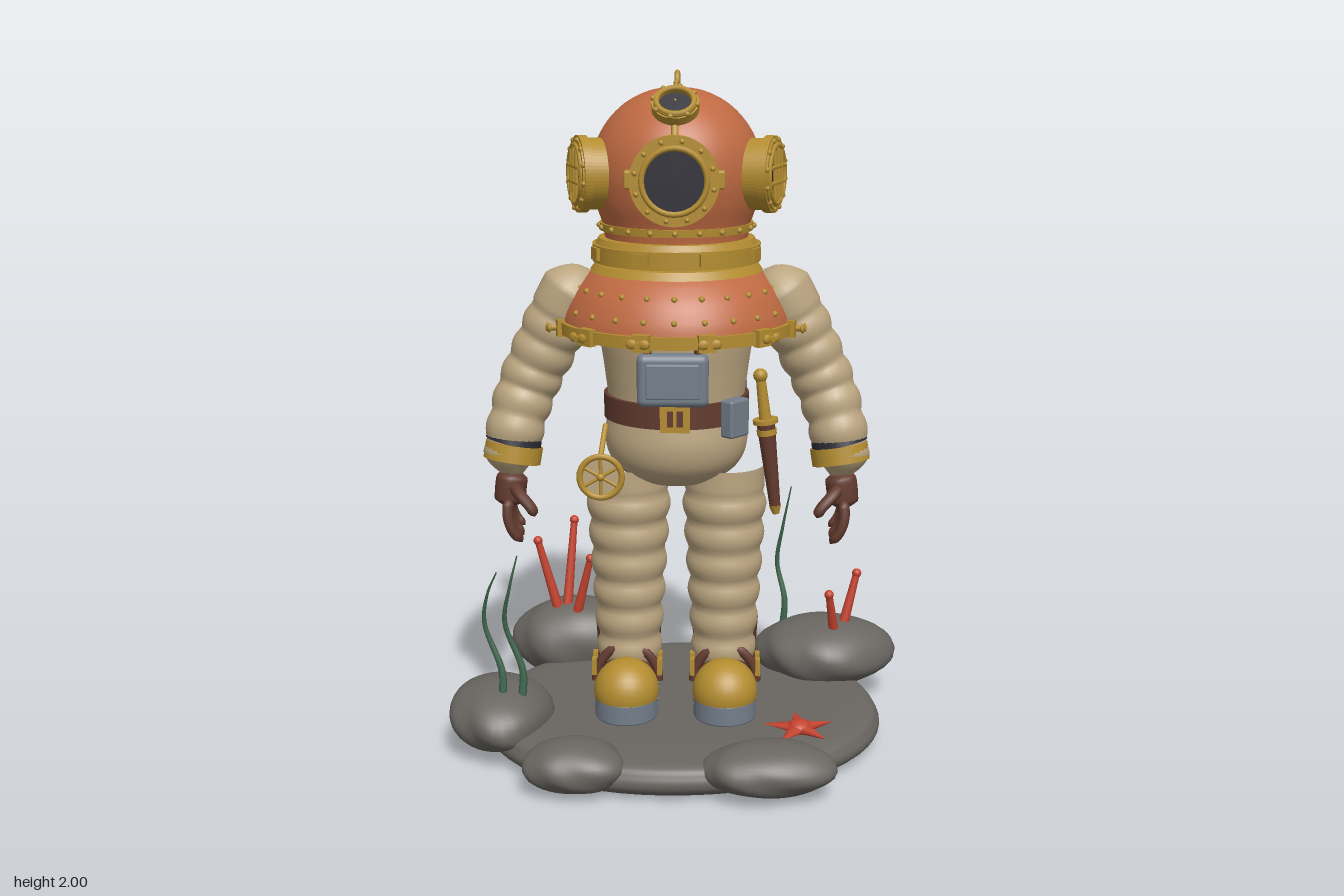
import * as THREE from 'three';
import { mergeVertices } from 'three/addons/utils/BufferGeometryUtils.js';
import { RoundedBoxGeometry } from 'three/addons/geometries/RoundedBoxGeometry.js';

const V = (x, y, z) => new THREE.Vector3(x, y, z);
const paint = (name, color) => Object.assign(new THREE.MeshStandardMaterial({ color }), { name });

export function createModel() {
  const copper = paint('copper', 0xbf6a42), brass = paint('brass', 0xb48d30), canvas = paint('canvas', 0xbba580);
  const leather = paint('leather', 0x623a2e), rubber = paint('dark rubber and glass', 0x2b2b34);
  const steel = paint('steel', 0x747e8a), rock = paint('rock', 0x696661);
  const red = paint('red', 0xc4432f), green = paint('seaweed green', 0x41684f);
  const root = new THREE.Group();
  root.name = 'deepSeaDiver';

  // --- helpers ---
  const add = (parent, name, geo, mat, x = 0, y = 0, z = 0) => {
    const m = new THREE.Mesh(geo, mat);
    m.name = name;
    m.position.set(x, y, z);
    parent.add(m);
    return m;
  };
  const cyl = (r1, r2, h, n = 24) => new THREE.CylinderGeometry(r1, r2, h, n);
  const ball = (r, n = 12) => new THREE.SphereGeometry(r, n, Math.ceil(n * 0.6));
  const lathe = (pts, n = 48) => new THREE.LatheGeometry(
    new THREE.SplineCurve(pts.map(p => new THREE.Vector2(...p))).getPoints(pts.length * 6).map(p => p.setX(Math.max(p.x, 0))), n);
  const rod = (parent, name, a, b, r1, r2, mat, n = 10) => {
    const m = add(parent, name, cyl(r2, r1, a.distanceTo(b), n), mat);
    m.position.copy(a).lerp(b, 0.5);
    m.quaternion.setFromUnitVectors(V(0, 1, 0), b.clone().sub(a).normalize());
    return m;
  };
  // tube whose radius follows a rule
  const limb = (pts, radius, seg = 24, sides = 10) => {
    const curve = new THREE.CatmullRomCurve3(pts);
    const g = new THREE.TubeGeometry(curve, seg, 1, sides), p = g.attributes.position, v = V();
    for (let i = 0; i < p.count; i++) {
      const t = Math.floor(i / (sides + 1)) / seg, c = curve.getPointAt(t);
      v.fromBufferAttribute(p, i).sub(c).multiplyScalar(radius(t)).add(c);
      p.setXYZ(i, v.x, v.y, v.z);
    }
    g.deleteAttribute('uv');
    g.deleteAttribute('normal');
    const merged = mergeVertices(g, 1e-5);
    merged.computeVertexNormals();
    return merged;
  };
  const capped = (t, e = 0.1) => Math.sqrt(Math.max(0, Math.min(1, t / e, (1 - t) / e)));
  const ringPlate = (rIn, rOut, depth) => {
    const s = new THREE.Shape().absarc(0, 0, rOut, 0, Math.PI * 2, false);
    s.holes.push(new THREE.Path().absarc(0, 0, rIn, 0, Math.PI * 2, true));
    return new THREE.ExtrudeGeometry(s, { depth, bevelEnabled: false, curveSegments: 32 });
  };
  const aim = (name, at, dir) => {
    const g = new THREE.Group();
    g.name = name;
    g.position.copy(at);
    g.lookAt(at.clone().add(dir));
    root.add(g);
    return g;
  };
  const around = (n, r, f, start = 0) => {
    for (let i = 0; i < n; i++) { const a = start + i / n * Math.PI * 2; f(r * Math.sin(a), r * Math.cos(a), a); }
  };

  // --- sea bed: flat slab and rounded rocks ---
  const bumpy = (geo, amount, k) => {
    geo.deleteAttribute('uv');
    geo.deleteAttribute('normal');
    const g = mergeVertices(geo, 1e-5), p = g.attributes.position;
    for (let i = 0; i < p.count; i++) {
      const x = p.getX(i), y = p.getY(i), z = p.getZ(i);
      const f = 1 + amount * (Math.sin(x * 3.1 + k) * Math.cos(z * 2.7 + k * 2) + 0.5 * Math.sin(x * 6 + y * 4 + z * 5 + k));
      p.setXYZ(i, x * f, y, z * f);
    }
    g.computeVertexNormals();
    return g;
  };
  const slab = add(root, 'seaBed', bumpy(lathe([[0, 0.004], [0.3, 0.004], [0.53, 0.008], [0.6, 0.035], [0.605, 0.075],
    [0.55, 0.108], [0.3, 0.115], [0, 0.115]], 64), 0.025, 1), rock, 0.02, 0, 0);
  slab.scale.z = 0.84;
  [[-0.34, 0.15, -0.42, 0.21, 0.135, 0.145], [0.47, 0.165, -0.285, 0.21, 0.11, 0.165], [-0.525, 0.12, 0.13, 0.155, 0.1, 0.19],
    [-0.28, 0.085, 0.42, 0.15, 0.075, 0.11], [0.27, 0.09, 0.44, 0.19, 0.075, 0.115]].forEach(([x, y, z, a, b, c], i) => {
    add(root, 'rock', bumpy(new THREE.SphereGeometry(1, 36, 24), 0.06, i * 1.7), rock, x, y, z).scale.set(a, b, c);
  });

  // --- seaweed, coral and starfish ---
  const weed = (...pts) => add(root, 'seaweed', limb(pts, t => 0.013 * (1 - t * 0.85), 24, 6), green);
  weed(V(-0.51, 0.18, 0.2), V(-0.51, 0.27, 0.19), V(-0.56, 0.42, 0.18), V(-0.545, 0.52, 0.2), V(-0.515, 0.59, 0.22));
  weed(V(-0.455, 0.17, 0.19), V(-0.45, 0.27, 0.18), V(-0.5, 0.42, 0.18), V(-0.48, 0.54, 0.21), V(-0.455, 0.64, 0.22));
  weed(V(0.34, 0.2, -0.38), V(0.345, 0.3, -0.38), V(0.32, 0.42, -0.4), V(0.335, 0.54, -0.38), V(0.36, 0.69, -0.35));
  [[-0.385, 0.22, -0.38, -0.46, 0.49, -0.39], [-0.37, 0.22, -0.38, -0.345, 0.545, -0.445], [-0.34, 0.22, -0.36, -0.285, 0.45, -0.33],
    [0.5, 0.22, -0.23, 0.475, 0.385, -0.18], [0.52, 0.22, -0.26, 0.57, 0.42, -0.29]].forEach(([a, b, c, d, e, f]) => {
    rod(root, 'coral', V(a, b, c), V(d, e, f), 0.018, 0.011, red);
    add(root, 'coralTip', ball(0.015), red, d, e, f);
  });
  around(5, 0.05, (x, z, a) => {
    const arm = add(root, 'starfishArm', new THREE.ConeGeometry(0.034, 0.12, 8), red, 0.365 + x, 0.125, 0.24 + z);
    arm.rotation.set(Math.PI / 2, 0, -a, 'XYZ');
    arm.scale.z = 0.55;
  }, Math.PI + 0.08);
  add(root, 'starfishCentre', ball(0.036), red, 0.365, 0.127, 0.24).scale.y = 0.6;

  // --- suit body ---
  add(root, 'torso', lathe([[0, 0.8], [0.1, 0.815], [0.18, 0.865], [0.21, 0.94], [0.2, 1.05], [0.21, 1.15], [0.225, 1.28], [0.21, 1.4]]),
    canvas).scale.z = 0.95;
  add(root, 'belt', cyl(0.213, 0.213, 0.07, 48), leather, 0, 1.045, 0).scale.z = 0.97;
  const buckle = add(root, 'beltBuckle', new THREE.BoxGeometry(0.085, 0.08, 0.02), brass, 0, 1.045, 0.208);
  add(buckle, 'buckleInset', new THREE.BoxGeometry(0.045, 0.045, 0.006), leather, 0, 0, 0.01);
  add(buckle, 'bucklePin', new THREE.BoxGeometry(0.01, 0.05, 0.008), brass, 0, 0, 0.012);
  [[0.17, 0.15], [0.17, -0.15], [-0.17, -0.15]].forEach(([x, z]) => {
    add(aim('beltWeight', V(x, 1.035, z), V(x, 0, z)), 'weightBlock', new RoundedBoxGeometry(0.08, 0.11, 0.045, 2, 0.008), steel);
  });

  for (const s of [-1, 1]) {
    // legs with soft folds
    const leg = [];
    for (let i = 0; i <= 44; i++) {
      const y = 0.24 + i * 0.62 / 44;
      const fold = y < 0.78 ? 0.013 * Math.abs(Math.sin((y - 0.24) * Math.PI / 0.09)) : 0.006;
      leg.push(new THREE.Vector2(0.083 + 0.03 * Math.min(1, (y - 0.24) / 0.5) + fold, y));
    }
    add(root, 'leg', new THREE.LatheGeometry(leg, 32), canvas, s * 0.143, 0, -0.005);

    // weighted boots
    const boot = new THREE.Group();
    boot.name = 'boot';
    boot.position.x = s * 0.147;
    root.add(boot);
    const print = new THREE.Shape().absarc(0, -0.135, 0.085, Math.PI, Math.PI * 2, false).absarc(0, 0.04, 0.072, 0, Math.PI, false);
    const sole = add(boot, 'sole', new THREE.ExtrudeGeometry(print,
      { depth: 0.055, bevelSize: 0.008, bevelThickness: 0.006, bevelSegments: 2, curveSegments: 16 }), steel, 0, 0.121, 0);
    sole.rotation.x = -Math.PI / 2;
    for (const e of [-1, 1]) for (let i = 0; i < 5; i++) add(boot, 'soleStud', ball(0.008, 8), steel, e * 0.089, 0.15, -0.03 + i * 0.042);
    add(boot, 'bootShaft', lathe([[0.09, 0.18], [0.095, 0.24], [0.097, 0.3], [0.102, 0.375]], 32), leather, 0, 0, -0.04).material = leather;
    add(boot, 'bootFoot', ball(1, 24), leather, 0, 0.185, 0.07).scale.set(0.088, 0.095, 0.13);
    add(boot, 'toeCap', ball(1, 28), brass, 0, 0.195, 0.132).scale.set(0.097, 0.095, 0.098);
    const welt = add(boot, 'instepStrap', new THREE.TorusGeometry(0.094, 0.014, 8, 24, Math.PI), leather, 0, 0.2, 0.07);
    welt.scale.y = 1.15;
    for (const e of [-1, 1]) for (const z of [0.085, 0.03])
      add(boot, 'strapBuckle', new THREE.BoxGeometry(0.014, 0.05, 0.028), brass, e * 0.098, 0.25, z);

    // sleeves with folds
    const P = (x, y, z) => V(s * x, y, z);
    add(root, 'sleeve', limb([P(0.255, 1.44, -0.01), P(0.31, 1.355, -0.01), P(0.375, 1.23, -0.015), P(0.435, 1.1, -0.01), P(0.47, 0.99, 0.02),
      P(0.485, 0.9, 0.035), P(0.48, 0.825, 0.045)],
    t => capped(t, 0.11) * (0.094 - 0.022 * t + (t > 0.22 ? 0.01 * Math.abs(Math.sin(t * 26)) : 0.006)), 72, 24), canvas);
    rod(root, 'cuff', P(0.482, 0.875, 0.038), P(0.48, 0.925, 0.03), 0.085, 0.085, brass, 28).rotateZ(s * 0.12);
    rod(root, 'cuffSeal', P(0.479, 0.928, 0.03), P(0.476, 0.952, 0.027), 0.083, 0.08, rubber, 28).rotateZ(s * 0.12);

    // gloved hands
    add(root, 'palm', limb([P(0.48, 0.85, 0.045), P(0.488, 0.8, 0.05), P(0.492, 0.74, 0.052)], t => capped(t, 0.2) * 0.047, 16, 14), leather).name = 'palm';
    for (let i = 0; i < 4; i++) {
      const z = 0.005 + i * 0.03, d = [0.03, 0.01, 0, 0.015][i], spread = (i - 1.5) * 0.008;
      add(root, 'finger', limb([P(0.49, 0.775, z), P(0.492, 0.72, z + spread), P(0.478, 0.67 + d * 0.5, z + spread * 1.3), P(0.455, 0.632 + d, z + spread)],
        t => 0.017 * capped(t, 0.12) * (1 - t * 0.2), 16, 8), leather);
    }
    add(root, 'thumb', limb([P(0.48, 0.81, 0.075), P(0.455, 0.79, 0.11), P(0.42, 0.755, 0.13), P(0.41, 0.73, 0.13)],
      t => 0.019 * capped(t, 0.12) * (1 - t * 0.2), 16, 8), leather);

    // air tanks and hoses
    const x = s * 0.095;
    add(root, 'airTank', lathe([[0, 0.935], [0.05, 0.938], [0.076, 0.96], [0.08, 1], [0.08, 1.2], [0.08, 1.34], [0.07, 1.38], [0.04, 1.405], [0, 1.41]], 32),
      steel, x, 0, -0.397);
    for (const y of [1.02, 1.245]) add(root, 'tankBand', cyl(0.084, 0.084, 0.03, 32), brass, x, y, -0.397);
    add(root, 'tankNeck', cyl(0.026, 0.034, 0.05), brass, x, 1.42, -0.397);
    add(root, 'airHose', limb([V(s * 0.135, 1.665, -0.27), V(s * 0.155, 1.655, -0.33), V(s * 0.18, 1.62, -0.405), V(s * 0.165, 1.55, -0.435),
      V(s * 0.115, 1.49, -0.42), V(x, 1.42, -0.397)], () => 0.025, 40, 12), rubber);
    rod(root, 'hoseFitting', V(s * 0.1, 1.67, -0.2), V(s * 0.14, 1.663, -0.285), 0.03, 0.03, brass, 16);
    rod(root, 'hoseNut', V(s * 0.127, 1.665, -0.26), V(s * 0.136, 1.664, -0.28), 0.04, 0.04, brass, 6);
  }

  // --- backpack frame and valve ---
  add(root, 'backplate', new THREE.BoxGeometry(0.25, 0.31, 0.085), leather, 0, 1.095, -0.265);
  add(root, 'tankShelf', new THREE.BoxGeometry(0.25, 0.02, 0.12), leather, 0, 0.95, -0.3);
  rod(root, 'manifold', V(-0.1, 1.425, -0.395), V(0.1, 1.425, -0.395), 0.014, 0.014, brass);
  rod(root, 'valveStem', V(0, 1.425, -0.395), V(0, 1.415, -0.45), 0.01, 0.01, brass);
  const handwheel = (at, dir, r) => {
    const g = aim('valveHandwheel', at, dir);
    add(g, 'wheelRim', new THREE.TorusGeometry(r, 0.008, 8, 24), red);
    for (let i = 0; i < 3; i++) add(g, 'wheelSpoke', cyl(0.006, 0.006, r * 2, 8), red).rotation.z = i * Math.PI / 3;
    add(g, 'wheelHub', ball(0.012), red);
  };
  handwheel(V(0, 1.415, -0.45), V(0, 0, -1), 0.034);

  // --- breastplate ---
  const cz = -0.012;
  add(root, 'breastplate', lathe([[0.335, 1.29], [0.325, 1.33], [0.3, 1.38], [0.265, 1.42], [0.235, 1.445]], 64), copper, 0, 0, cz).material.side = THREE.DoubleSide;
  add(root, 'lowerFlange', cyl(0.345, 0.345, 0.035, 64), brass, 0, 1.282, cz);
  add(root, 'collarLip', cyl(0.235, 0.25, 0.022, 48), brass, 0, 1.45, cz);
  add(root, 'collarRing', cyl(0.243, 0.243, 0.05, 48), brass, 0, 1.492, cz);
  add(root, 'collarTop', cyl(0.225, 0.235, 0.02, 48), brass, 0, 1.524, cz);
  around(8, 0.243, (x, z, a) => {
    add(root, 'collarLug', new THREE.BoxGeometry(0.05, 0.035, 0.018), brass, x, 1.495, z + cz).rotation.y = a;
  }, 0.39);
  for (const [y, r] of [[1.395, 0.289], [1.335, 0.323]])
    around(24, r, (x, z) => add(root, 'breastplateRivet', ball(0.009, 8), brass, x, y, z + cz));
  around(12, 0.345, (x, z, a) => {
    const g = aim('wingNut', V(x, 1.282, z + cz), V(x, 0, z));
    add(g, 'clamp', new THREE.BoxGeometry(0.05, 0.048, 0.022), brass);
    add(g, 'bolt', cyl(0.009, 0.009, 0.04, 8), brass, 0, 0, 0.02).rotation.x = Math.PI / 2;
    for (const e of [-1, 1]) add(g, 'wing', ball(0.014, 8), brass, e * 0.018, 0.003, 0.034).scale.set(1.2, 1, 0.5);
  }, Math.PI / 12);

  // --- helmet ---
  const hc = V(0, 1.715, -0.022);
  add(root, 'helmet', lathe([[0.205, 1.52], [0.213, 1.57], [0.235, 1.64], [0.245, 1.715], [0.234, 1.79], [0.2, 1.857], [0.145, 1.912], [0.075, 1.946], [0, 1.957]], 64),
    copper, 0, 0, hc.z);
  add(root, 'neckBand', cyl(0.222, 0.22, 0.022, 48), brass, 0, 1.565, hc.z);
  around(20, 0.222, (x, z) => add(root, 'neckRivet', ball(0.009, 8), brass, x, 1.565, z + hc.z));
  // crest strap over the crown
  const crestArc = 2.75;
  const crest = add(root, 'crest', new THREE.CylinderGeometry(0.249, 0.249, 0.03, 48, 1, true, 0, crestArc), brass, hc.x, hc.y, hc.z);
  crest.material.side = THREE.DoubleSide;
  crest.rotation.set(0.75 - 1.95, 0, Math.PI / 2, 'XYZ');
  crest.visible = true;
  crest.geometry.dispose();
  crest.geometry = new THREE.TorusGeometry(0.243, 0.011, 8, 48, crestArc);
  crest.rotation.set(0, Math.PI / 2, 0.75);
  for (let i = 0; i < 14; i++) {
    const a = 0.95 + i * 0.18;
    add(root, 'crestRivet', ball(0.008, 8), brass, 0, hc.y + 0.254 * Math.sin(a), hc.z + 0.254 * Math.cos(a));
  }
  add(root, 'liftingEye', new THREE.TorusGeometry(0.028, 0.008, 8, 24), brass, 0, 1.964, -0.15).rotation.y = Math.PI / 2;
  add(root, 'liftingEyeBase', cyl(0.014, 0.02, 0.03, 12), brass, 0, 1.93, -0.145);

  // portholes
  const porthole = (dir, dist, rOut, rGlass, depth, bolts, bars) => {
    dir.normalize();
    const g = aim('porthole', hc.clone().addScaledVector(dir, dist), dir);
    add(g, 'frame', ringPlate(rGlass, rOut * 0.93, depth), brass, 0, 0, -depth);
    add(g, 'rim', ringPlate(rGlass, rOut, 0.025), brass, 0, 0, -0.03);
    add(g, 'bezel', new THREE.TorusGeometry(rGlass + 0.006, 0.008, 8, 32), brass);
    add(g, 'glass', new THREE.CircleGeometry(rGlass + 0.002, 32), rubber, 0, 0, -0.012);
    around(bolts, (rOut + rGlass) / 2 + 0.006, (x, y) => add(g, 'frameBolt', ball(0.008, 8), brass, x, y, -0.002), 0.2);
    if (!bars) return;
    for (let i = -1; i <= 1; i++) {
      const h = 2 * Math.sqrt(rGlass ** 2 - (i * 0.034) ** 2);
      add(g, 'guardBar', cyl(0.006, 0.006, h, 8), brass, i * 0.034, 0, 0.004);
      if (i < 1) add(g, 'guardCrossbar', cyl(0.006, 0.006, rGlass * 1.9, 8), brass, 0, 0.022 + i * 0.044, 0.004).rotation.z = Math.PI / 2;
    }
  };
  porthole(V(0, 0.005, 1), 0.303, 0.123, 0.083, 0.12, 12, false);
  porthole(V(0, 0.2, 0.165), 0.272, 0.066, 0.046, 0.06, 8, false);
  for (const s of [-1, 1]) {
    porthole(V(s, 0.01, 0.31), 0.297, 0.108, 0.076, 0.12, 12, true);
    add(root, 'portholeHinge', new RoundedBoxGeometry(0.025, 0.05, 0.04, 2, 0.006), brass, s * 0.125, 1.72, 0.255);
    // side fittings
    const d = V(s * 0.25, -0.075, -0.1).normalize(), at = r => hc.clone().addScaledVector(d, r);
    rod(root, 'sideFitting', at(0.2), at(0.262), 0.036, 0.032, brass, 16);
    rod(root, 'sideNozzle', at(0.25), at(0.285), 0.02, 0.02, brass, 6);
    if (s < 0) handwheel(at(0.3), d, 0.03);
  }

  // --- chest box ---
  add(root, 'chestBox', new RoundedBoxGeometry(0.2, 0.15, 0.055, 3, 0.02), steel, -0.005, 1.165, 0.25);
  add(root, 'chestBoxPanel', new RoundedBoxGeometry(0.15, 0.1, 0.012, 2, 0.005), steel, -0.005, 1.165, 0.279);
  for (const x of [-0.075, 0.065]) rod(root, 'chestStrap', V(x, 1.22, 0.245), V(x, 1.285, 0.25), 0.012, 0.012, leather);

  // --- hanging lamp ---
  const lamp = aim('lamp', V(-0.21, 0.88, 0.235), V(0, 0, 1));
  add(lamp, 'lampRim', new THREE.TorusGeometry(0.06, 0.009, 8, 32), brass);
  add(lamp, 'lampBody', cyl(0.06, 0.035, 0.07), brass, 0, 0, -0.045).rotation.x = Math.PI / 2;
  add(lamp, 'lampLens', new THREE.CircleGeometry(0.055, 28), canvas, 0, 0, -0.006);
  for (let i = 0; i < 3; i++) add(lamp, 'lampGuard', cyl(0.005, 0.005, 0.12, 8), brass).rotation.z = i * Math.PI / 3;
  add(lamp, 'lampBoss', ball(0.012), brass);
  rod(root, 'lampHook', V(-0.21, 0.94, 0.22), V(-0.2, 1.01, 0.14), 0.008, 0.008, brass);

  // --- knife in its sheath ---
  const kz = 0.05, K = t => V(0.243 + 0.052 * t, 1.15 - 0.43 * t, kz);
  rod(root, 'sheath', K(0.36), K(0.95), 0.027, 0.016, leather, 12);
  rod(root, 'sheathTip', K(0.94), K(1), 0.018, 0.01, brass, 12);
  rod(root, 'sheathBand', K(0.4), K(0.44), 0.029, 0.029, brass, 12);
  rod(root, 'knifeGuard', K(0.33), K(0.36), 0.037, 0.037, brass, 16);
  rod(root, 'knifeHandle', K(0.04), K(0.34), 0.014, 0.018, brass, 12);
  add(root, 'knifePommel', ball(0.021), brass).position.copy(K(0.03));
  return root;
}
